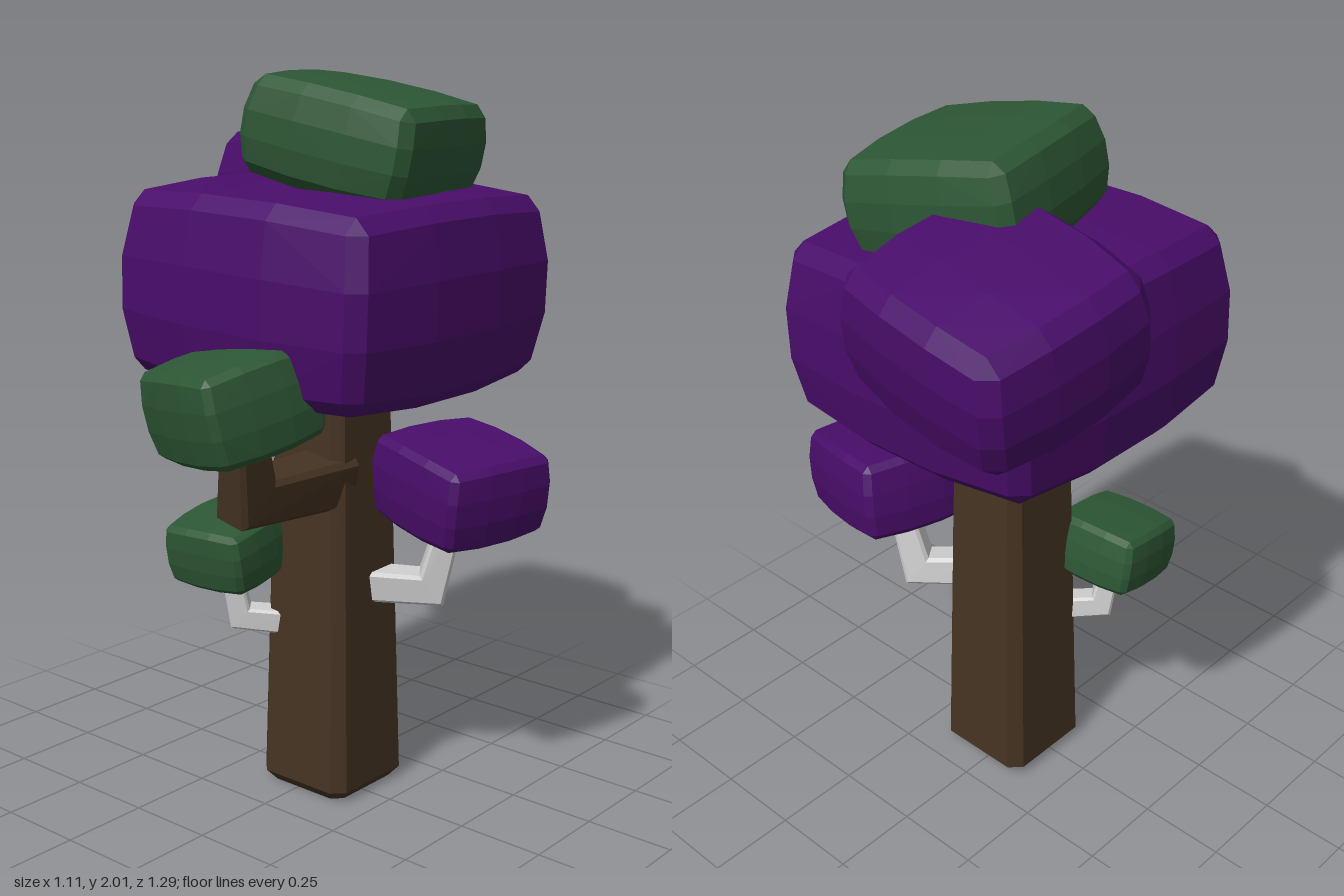
import * as THREE from 'three';
import { ConvexGeometry } from 'three/addons/geometries/ConvexGeometry.js';

const material = (name, color) => {
  const m = new THREE.MeshStandardMaterial({ color });
  m.name = name;
  return m;
};

// Bulging box with chamfered edges: a grid of points on each face, wrapped in a hull
function leafBlock(size, bevel, bulge) {
  const h = size.map((s) => s / 2);
  const grid = [-1, -0.35, 0.35, 1];
  const points = [];
  for (let axis = 0; axis < 3; axis++) {
    const a = (axis + 1) % 3, b = (axis + 2) % 3;
    for (const side of [-1, 1]) for (const u of grid) for (const v of grid) {
      const p = [0, 0, 0];
      p[axis] = side * h[axis] * (1 - (bulge * (u * u + v * v)) / 2);
      p[a] = u * (h[a] * (1 - (bulge * (1 + v * v)) / 2) - bevel);
      p[b] = v * (h[b] * (1 - (bulge * (1 + u * u)) / 2) - bevel);
      points.push(new THREE.Vector3(...p));
    }
  }
  return new ConvexGeometry(points);
}

// Square with cut corners, spanned by two vectors around a centre
function section(centre, n, s, half, cut = 0.78) {
  const corners = [[1, cut], [cut, 1], [-cut, 1], [-1, cut], [-1, -cut], [-cut, -1], [cut, -1], [1, -cut]];
  return corners.map(([x, y]) => centre.clone().addScaledVector(n, x * half).addScaledVector(s, y * half));
}

// Bent branch: two tapered bars sharing a mitred section
function branch(name, mat, path, halves) {
  const [a, b, c] = path.map((p) => new THREE.Vector3(...p));
  const d1 = b.clone().sub(a).normalize(), d2 = c.clone().sub(b).normalize();
  const s = d1.clone().cross(d2).normalize();
  const n1 = s.clone().cross(d1), n2 = s.clone().cross(d2);
  const mitre = n1.clone().add(n2).divideScalar(1 + n1.dot(n2));
  const start = section(a, n1, s, halves[0]);
  const elbow = section(b, mitre, s, halves[1]);
  const end = section(c, n2, s, halves[2]);
  const group = new THREE.Group();
  group.name = name;
  [[start, elbow, 'Base'], [elbow, end, 'Tip']].forEach(([p, q, part]) => {
    const mesh = new THREE.Mesh(new ConvexGeometry([...p, ...q]), mat);
    mesh.name = name + part;
    group.add(mesh);
  });
  return group;
}

export function createModel() {
  const tree = new THREE.Group();
  tree.name = 'tree';
  const purple = material('purple leaves', 0x490d6a);
  const green = material('green leaves', 0x2d5735);
  const bark = material('brown bark', 0x453322);
  const pale = material('pale wood', 0xcfcfcf);

  // Tapered trunk with chamfered corners and foot
  const X = new THREE.Vector3(1, 0, 0), Z = new THREE.Vector3(0, 0, 1);
  const levels = [[0, 0.128], [0.03, 0.153], [1.4, 0.118]];
  const trunk = new THREE.Mesh(
    new ConvexGeometry(levels.flatMap(([y, r]) => section(new THREE.Vector3(0.019, y, -0.021), X, Z, r))),
    bark
  );
  trunk.name = 'trunk';
  tree.add(trunk);

  // Branches
  tree.add(
    branch('frontBranch', bark, [[0.08, 0.925, 0.03], [0.055, 0.925, 0.37], [0.09, 1.13, 0.415]], [0.072, 0.062, 0.046]),
    branch('leftBranch', pale, [[0.08, 0.61, -0.02], [0.265, 0.597, -0.16], [0.325, 0.83, -0.175]], [0.046, 0.043, 0.032]),
    branch('rightBranch', pale, [[-0.04, 0.485, 0.06], [-0.165, 0.5, 0.165], [-0.178, 0.66, 0.195]], [0.035, 0.032, 0.026])
  );

  // Leaf blocks: name, material, size, position, rotation, bevel, bulge
  const leaves = [
    ['mainCrown', purple, [0.91, 0.55, 0.91], [0.025, 1.447, -0.025], [0.01, 0, -0.04], 0.04, 0.11],
    ['backCrown', purple, [0.61, 0.4, 0.57], [-0.235, 1.645, -0.35], [-0.17, -0.11, 0.09], 0.04, 0.12],
    ['topCrown', green, [0.53, 0.285, 0.54], [0.085, 1.835, -0.075], [0, 0.2, -0.2], 0.03, 0.1],
    ['frontLeaves', green, [0.37, 0.26, 0.36], [0.075, 1.195, 0.437], [0.2, -0.22, 0.14], 0.018, 0.1],
    ['leftLeaves', purple, [0.39, 0.25, 0.38], [0.343, 0.908, -0.175], [0.03, -0.25, -0.14], 0.018, 0.1],
    ['rightLeaves', green, [0.285, 0.19, 0.27], [-0.182, 0.712, 0.192], [0.17, 0.08, 0], 0.015, 0.1],
  ];
  for (const [name, mat, size, position, rotation, bevel, bulge] of leaves) {
    const mesh = new THREE.Mesh(leafBlock(size, bevel, bulge), mat);
    mesh.name = name;
    mesh.position.set(...position);
    mesh.rotation.set(...rotation);
    tree.add(mesh);
  }
  return tree;
}
